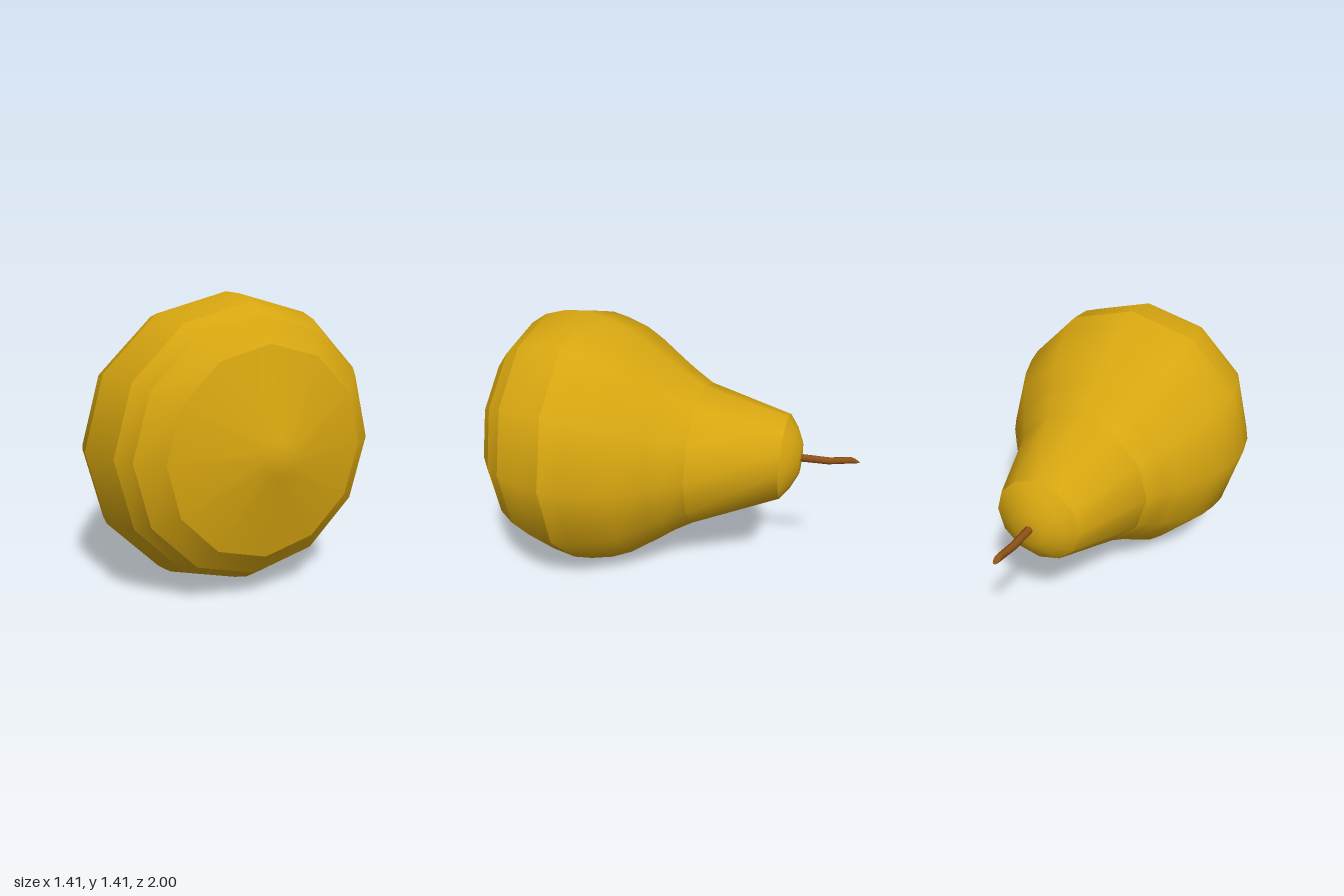
import * as THREE from 'three';
import { mergeVertices } from 'three/addons/utils/BufferGeometryUtils.js';

const SIDES = 12;

// Rings of the fruit along its axis: [z, radius, centre height]
const RINGS = [
  [-0.70, 0, 0.73], [-0.695, 0.09, 0.73], [-0.66, 0.165, 0.73], [-0.615, 0.225, 0.73],
  [-0.17, 0.385, 0.685], [-0.07, 0.445, 0.685], [0, 0.495, 0.682], [0.15, 0.6, 0.684],
  [0.25, 0.652, 0.693], [0.37, 0.688, 0.702], [0.47, 0.705, 0.71],
  [0.6, 0.69, 0.72], [0.715, 0.65, 0.73], [0.8, 0.595, 0.73], [0.89, 0.48, 0.73], [0.99, 0.08, 0.73], [1.0, 0, 0.73],
];

// Drop seams so the normals run smoothly around the form
function smooth(geometry) {
  geometry.deleteAttribute('normal');
  geometry.deleteAttribute('uv');
  const merged = mergeVertices(geometry, 1e-5);
  merged.computeVertexNormals();
  return merged;
}

// One smooth band of the fruit between two rings, with a crease at both ends
function band(first, last) {
  const rings = RINGS.slice(first, last + 1);
  const geometry = new THREE.LatheGeometry(rings.map(([z, r]) => new THREE.Vector2(r, z)), SIDES);
  geometry.rotateX(Math.PI / 2);
  const p = geometry.attributes.position;
  const row = rings.length;
  for (let i = 0; i < p.count; i++) p.setY(i, p.getY(i) + rings[i % row][2]);
  return smooth(geometry);
}

// Thin bent stem with a slanted cut at its end
function stemGeometry() {
  const steps = [ // z, height, half width, half height, slant of the cut
    [-0.67, 0.733, 0.022, 0.021, 0],
    [-0.84, 0.738, 0.020, 0.019, 0],
    [-0.968, 0.7625, 0.017, 0.0125, 0.028],
  ];
  const geometry = new THREE.CylinderGeometry(1, 1, 2, 8, 2);
  geometry.rotateX(-Math.PI / 2);
  const p = geometry.attributes.position;
  for (let i = 0; i < p.count; i++) {
    const [z, y, w, h, slant] = steps[Math.round(1 - p.getZ(i))];
    const up = p.getY(i);
    p.setXYZ(i, p.getX(i) * w, y + up * h, z + up * slant);
  }
  geometry.computeVertexNormals();
  return geometry;
}

export function createModel() {
  const skin = new THREE.MeshStandardMaterial({ color: 0xd6a510 });
  skin.name = 'golden skin';
  const wood = new THREE.MeshStandardMaterial({ color: 0x8f5214 });
  wood.name = 'stem brown';

  const model = new THREE.Group();
  model.name = 'pear';
  const add = (name, geometry, material) => {
    const mesh = new THREE.Mesh(geometry, material);
    mesh.name = name;
    model.add(mesh);
  };

  // Fruit, from the stem end to the blossom end
  add('neckTip', band(0, 3), skin);
  add('neck', band(3, 4), skin);
  add('shoulder', band(4, 10), skin);
  add('belly', band(10, 12), skin);
  add('lowerBelly', band(12, 13), skin);
  add('baseRim', band(13, 14), skin);
  add('base', band(14, 16), skin);

  add('stem', stemGeometry(), wood);
  return model;
}
